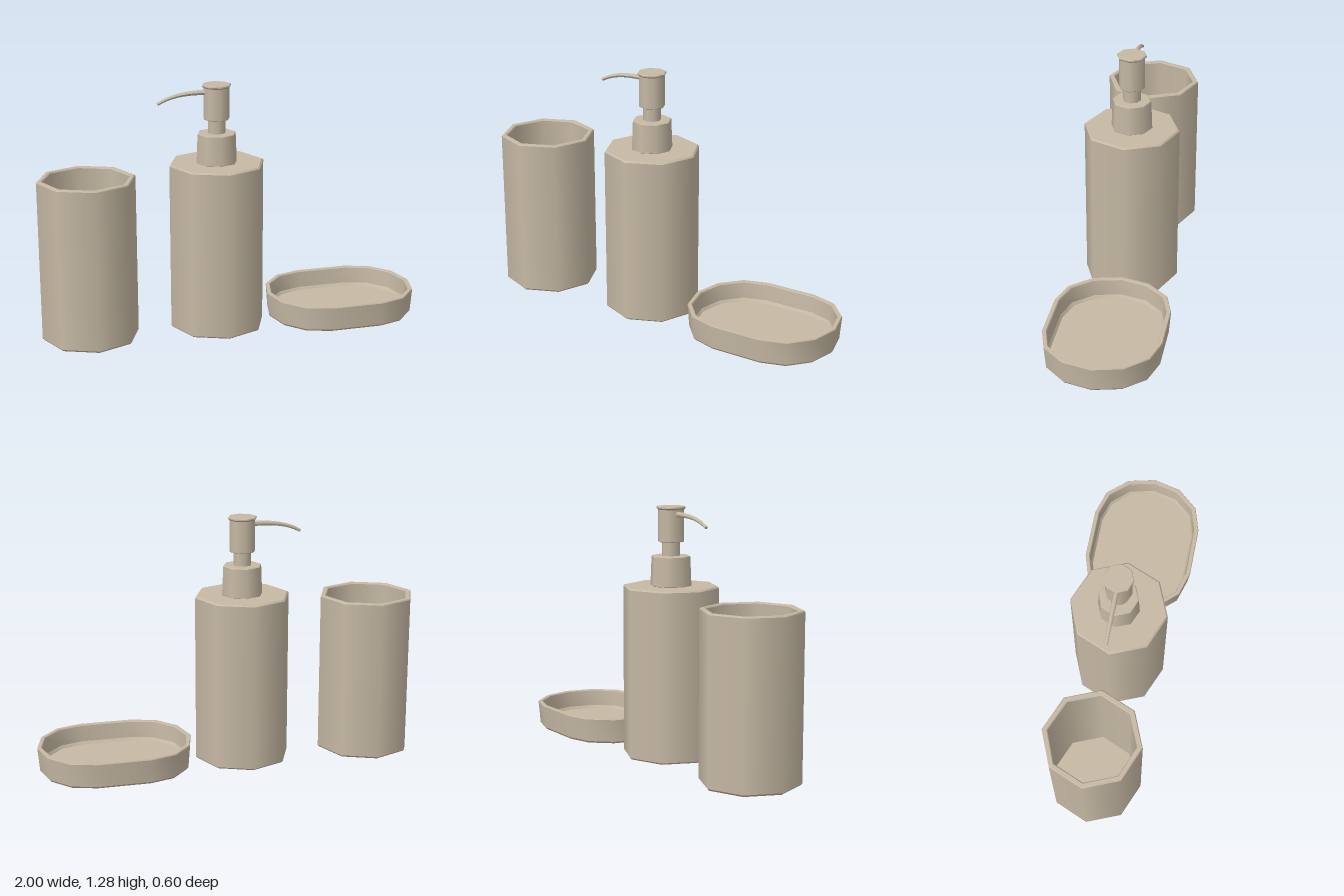
import * as THREE from 'three';
import { mergeGeometries } from 'three/addons/utils/BufferGeometryUtils.js';

const material = new THREE.MeshStandardMaterial({ color: 0xc6b9a4 });

function part(name, geometry, x = 0) {
  const mesh = new THREE.Mesh(geometry, material);
  mesh.name = name;
  mesh.position.x = x;
  return mesh;
}

// Turned shape: smooth around the axis, with a sharp edge at every profile point
function turned(profile, sides = 8, reshape = null) {
  const points = profile.map(([r, y]) => new THREE.Vector2(r, y));
  const bands = points.slice(1).map((p, i) => {
    const band = new THREE.LatheGeometry([points[i], p], sides);
    if (reshape) reshape(band, [points[i], p]);
    return band;
  });
  return mergeGeometries(bands);
}

// Solid octagonal body with small bevels
function solid(bottomR, topR, y0, y1, bevel = 0.006) {
  return turned([
    [0, y0], [bottomR - bevel, y0], [bottomR, y0 + bevel],
    [topR, y1 - bevel], [topR - bevel, y1], [0, y1],
  ]);
}

// Rule that stretches a turned band of 16 sides into an oval with straight long sides
function stretchToOval(band, points) {
  const pos = band.attributes.position;
  for (let i = 0; i <= 16; i++) {
    const half = i % 8;
    const angle = (i % 16 < 8 ? 0 : Math.PI) + (half === 0 ? 0 : (half - 1) * Math.PI / 6);
    const straight = half === 0 ? 0 : (i % 16 < 8 ? 0.135 : -0.135);
    points.forEach((p, j) => {
      const r = p.x;
      const x = r === 0 ? 0 : straight + (r - 0.035) * Math.sin(angle);
      pos.setXYZ(i * 2 + j, half === 0 ? 0 : x, p.y, r * Math.cos(angle));
    });
  }
  band.computeVertexNormals();
}

// Tapered spout, bent downward towards its tip
function spoutGeometry() {
  const geometry = new THREE.CylinderGeometry(0.008, 0.014, 1, 8, 10);
  const pos = geometry.attributes.position;
  for (let i = 0; i < pos.count; i++) {
    const t = pos.getY(i) + 0.5;
    const slope = 0.48 * t * t;
    const across = pos.getX(i);
    pos.setXYZ(i,
      -0.05 - 0.255 * t - across * Math.sin(slope),
      1.241 - 0.048 * t ** 3 + across * Math.cos(slope),
      pos.getZ(i));
  }
  geometry.computeVertexNormals();
  return geometry;
}

export function createModel() {
  const model = new THREE.Group();
  model.name = 'bathroomSet';

  // Open tumbler
  model.add(part('tumbler', turned([
    [0, 0], [0.24, 0], [0.25, 0.01], [0.25, 0.834], [0.245, 0.84],
    [0.226, 0.84], [0.221, 0.834], [0.221, 0.035], [0, 0.035],
  ]), -0.75));

  // Soap dispenser: bottle and pump
  const dispenser = new THREE.Group();
  dispenser.name = 'soapDispenser';
  dispenser.position.x = -0.077;
  dispenser.add(
    part('bottle', solid(0.248, 0.248, 0, 0.877, 0.008)),
    part('collar', solid(0.106, 0.1, 0.875, 1.03, 0.004)),
    part('stem', solid(0.046, 0.046, 1.025, 1.105, 0.002)),
    part('pumpHead', solid(0.067, 0.067, 1.1, 1.266, 0.003)),
    part('pumpCap', turned([
      [0, 1.262], [0.066, 1.262], [0.075, 1.27], [0.075, 1.276], [0.071, 1.28], [0, 1.28],
    ])),
    part('spout', spoutGeometry()),
  );
  model.add(dispenser);

  // Soap dish
  model.add(part('soapDish', turned([
    [0, 0], [0.282, 0], [0.29, 0.01], [0.3, 0.13], [0.297, 0.135],
    [0.28, 0.135], [0.276, 0.13], [0.27, 0.045], [0.26, 0.03], [0, 0.03],
  ], 16, stretchToOval), 0.6));

  return model;
}
